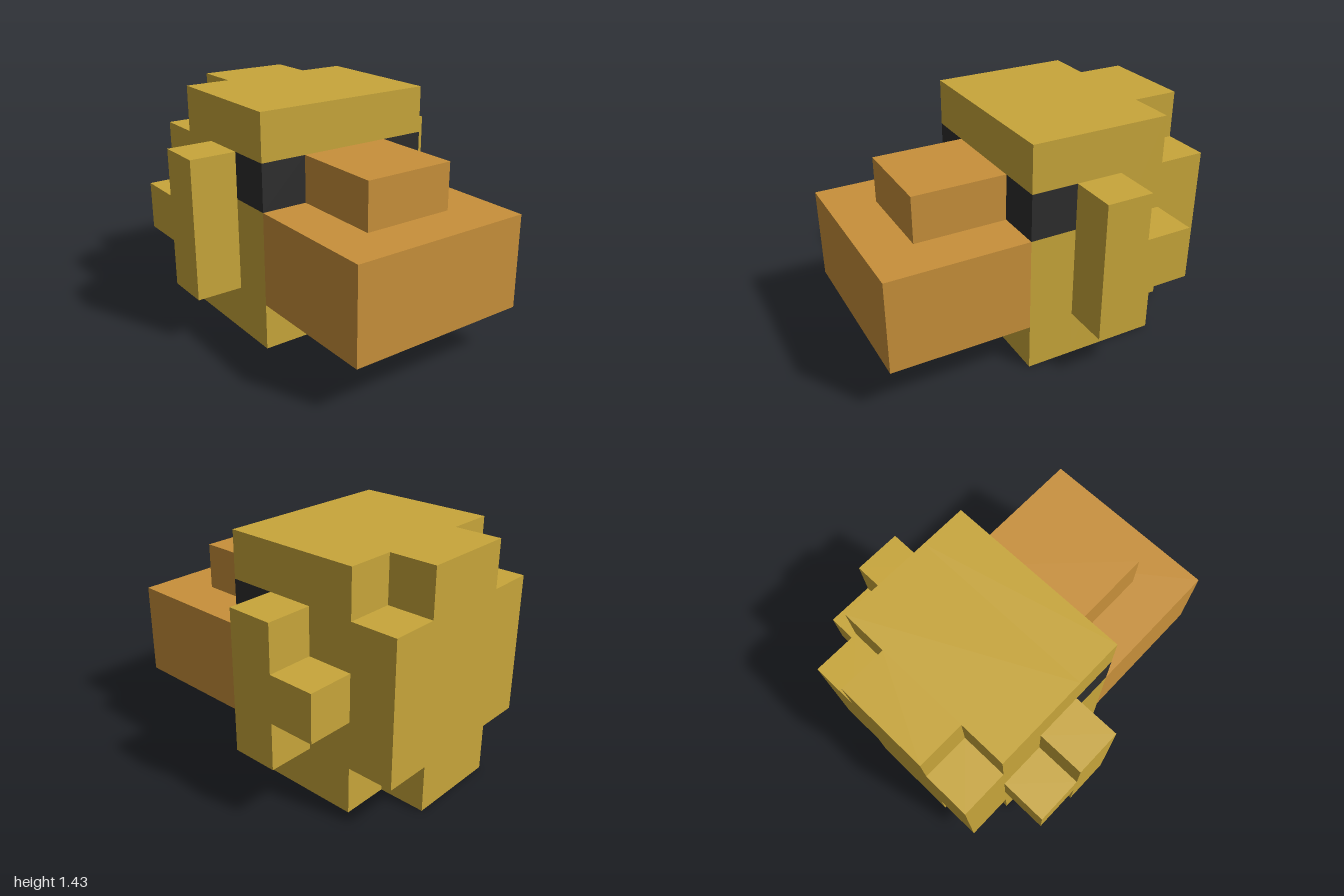
import * as THREE from 'three';

// The model is laid out on a grid seven cells deep.
const U = 2 / 7;

const material = (name, color) => {
  const m = new THREE.MeshStandardMaterial({ color });
  m.name = name;
  return m;
};

export function createModel() {
  const yellow = material('yellow feathers', 0xc8a63a);
  const orange = material('orange beak', 0xc8903a);
  const black = material('black eye', 0x2d2d2d);

  const model = new THREE.Group();
  model.name = 'blockyBirdHead';

  const group = (name) => {
    const g = new THREE.Group();
    g.name = name;
    model.add(g);
    return g;
  };

  // Box between grid limits: x from the middle, y from the ground, z from the back.
  const block = (parent, name, mat, [x0, x1], [y0, y1], [z0, z1]) => {
    const geo = new THREE.BoxGeometry((x1 - x0) * U, (y1 - y0) * U, (z1 - z0) * U);
    const mesh = new THREE.Mesh(geo, mat);
    mesh.name = name;
    mesh.position.set(((x0 + x1) / 2) * U, ((y0 + y1) / 2) * U, ((z0 + z1) / 2) * U - 1);
    parent.add(mesh);
  };

  // Head: a solid middle, and a front layer that leaves room for the eyes
  const head = group('head');
  block(head, 'headMiddle', yellow, [-2, 2], [0, 5], [1, 3]);
  block(head, 'cheeks', yellow, [-2, 2], [0, 3], [3, 4]);
  block(head, 'brow', yellow, [-2, 2], [4, 5], [3, 4]);
  block(head, 'noseBridge', yellow, [-1, 1], [3, 4], [3, 4]);

  // Back of the head: a cross outline with notched corners
  const outline = [
    [-1, 0], [1, 0], [1, 1], [2, 1], [2, 4], [1, 4],
    [1, 5], [-1, 5], [-1, 4], [-2, 4], [-2, 1], [-1, 1],
  ].map(([x, y]) => new THREE.Vector2(x * U, y * U));
  const back = new THREE.Mesh(
    new THREE.ExtrudeGeometry(new THREE.Shape(outline), { depth: U, bevelEnabled: false }),
    yellow
  );
  back.name = 'headBack';
  back.position.z = -1;
  head.add(back);

  // Eyes and side tufts, mirrored
  for (const [side, s] of [['left', 1], ['right', -1]]) {
    const span = (a, b) => (s > 0 ? [a, b] : [-b, -a]);
    block(model, side + 'Eye', black, span(1, 2), [3, 4], [3, 4]);
    const tuft = group(side + 'SideTuft');
    block(tuft, side + 'TuftColumn', yellow, span(2, 3), [1, 4], [2, 3]);
    block(tuft, side + 'TuftTip', yellow, span(2, 3), [2, 3], [1, 2]);
  }

  // Beak: a wide bill with a smaller ridge on top
  const beak = group('beak');
  block(beak, 'bill', orange, [-2, 2], [1, 3], [4, 7]);
  block(beak, 'billRidge', orange, [-1, 1], [3, 4], [4, 6]);

  return model;
}
